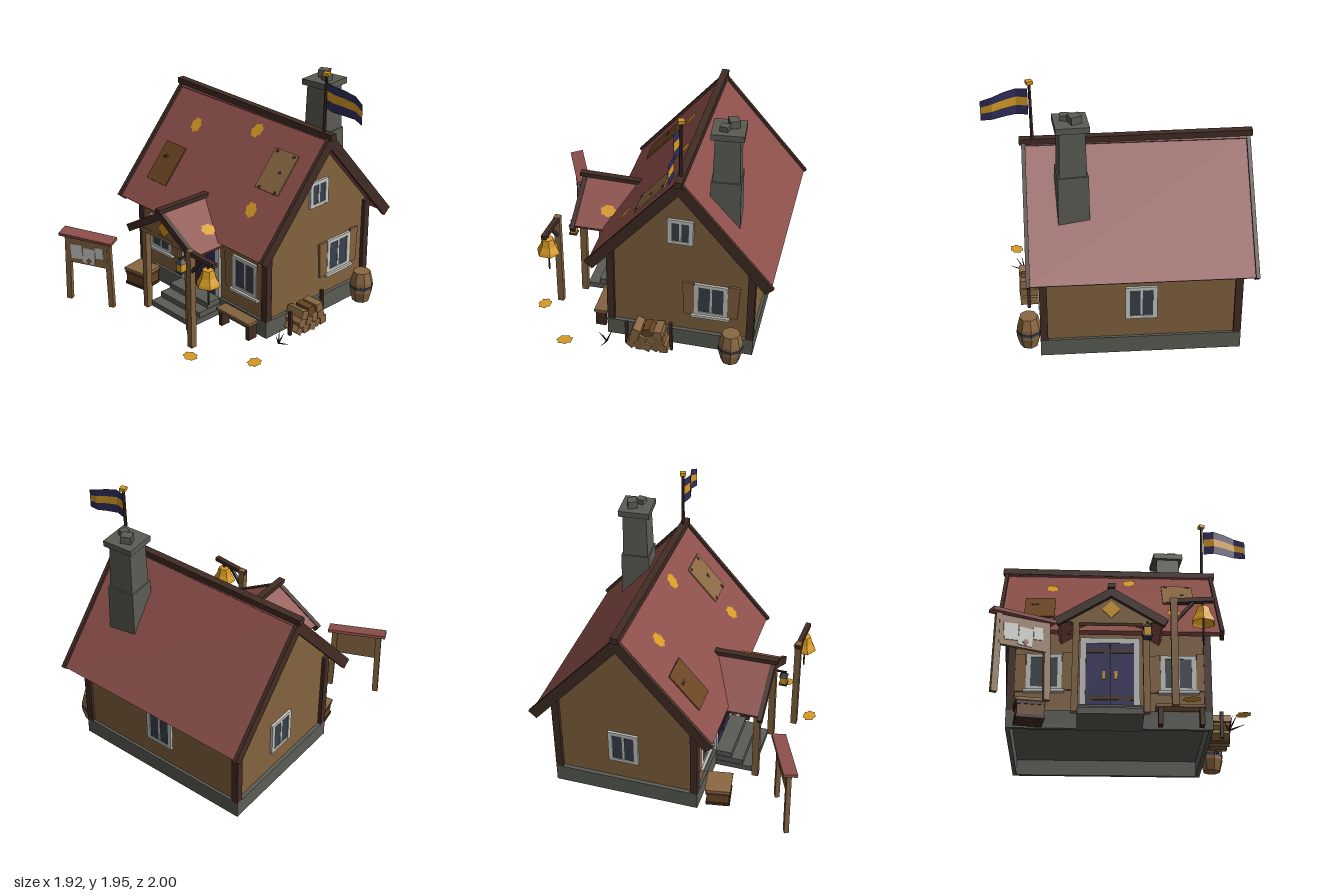
import * as THREE from 'three';

const mat = (name, color, side = THREE.FrontSide) =>
  Object.assign(new THREE.MeshStandardMaterial({ color, flatShading: true, side }), { name });

export function createModel() {
  const tan = mat('tan wood', 0x82623e), timber = mat('dark timber', 0x412c24);
  const red = mat('roof red', 0x8c4f4a), stone = mat('stone', 0x5a5c54);
  const navy = mat('navy paint', 0x2f2d5c, THREE.DoubleSide), gold = mat('gold', 0xd69a24, THREE.DoubleSide);
  const white = mat('off white', 0xc4c5c0), glass = mat('slate glass', 0x39404b);
  const brown = mat('brown plank', 0x6a4422), pale = mat('pale wood', 0x8a6842);

  const root = new THREE.Group();
  root.name = 'cottage';
  const CX = -0.13, CZ = -0.305;

  const add = (parent, name, geo, m, x = 0, y = 0, z = 0, rx = 0, ry = 0, rz = 0) => {
    const mesh = new THREE.Mesh(geo, m);
    mesh.name = name;
    mesh.position.set(x, y, z);
    mesh.rotation.set(rx, ry, rz);
    parent.add(mesh);
    return mesh;
  };
  const box = (p, name, m, w, h, d, ...at) => add(p, name, new THREE.BoxGeometry(w, h, d), m, ...at);
  const cyl = (p, name, m, rt, rb, h, n, ...at) => add(p, name, new THREE.CylinderGeometry(rt, rb, h, n), m, ...at);
  const group = (name, x, y, z, ry = 0) => {
    const g = new THREE.Group();
    g.name = name;
    g.position.set(x, y, z);
    g.rotation.y = ry;
    root.add(g);
    return g;
  };
  const prism = (points, depth) => new THREE.ExtrudeGeometry(
    new THREE.Shape(points.map(([a, b]) => new THREE.Vector2(a, b))), { depth, bevelEnabled: false });
  const leaf = (p, x, y, z, turn = 0) => {
    const geo = new THREE.CircleGeometry(0.05, 18), a = geo.attributes.position;
    for (let i = 1; i < a.count; i++) {
      const k = 0.96 + 0.13 * Math.sin(i * 2.4 + turn);
      a.setXY(i, a.getX(i) * k, a.getY(i) * k * 1.24);
    }
    add(p, 'fallenLeaf', geo, gold, x, y, z, -Math.PI / 2, 0, turn);
  };

  // Hollow foundation ring with a raised floor, walls with gables, corner posts
  for (const s of [-1, 1]) {
    box(root, 'foundationLong', stone, 1.46, 0.135, 0.03, CX, 0.0675, CZ + s * 0.54);
    box(root, 'foundationShort', stone, 0.03, 0.135, 1.06, CX + s * 0.715, 0.0675, CZ);
  }
  box(root, 'floor', stone, 1.42, 0.015, 1.07, CX, 0.1275, CZ);
  add(root, 'walls', prism([[-0.535, 0.13], [0.535, 0.13], [0.535, 0.8], [0, 1.41], [-0.535, 0.8]], 1.4),
    tan, CX - 0.7, 0, CZ, 0, Math.PI / 2);
  for (const sx of [-1, 1]) for (const sz of [-1, 1])
    box(root, 'cornerPost', timber, 0.055, 0.66, 0.055, CX + sx * 0.702, 0.46, CZ + sz * 0.528);

  // Main roof: each slope is built in its own frame, local z running down the slope
  const A = Math.atan2(0.81, 0.705), L = Math.hypot(0.81, 0.705);
  const slopes = [0, Math.PI].map((turn) => {
    const g = group('roofSlope', CX, 1.5, CZ);
    g.rotation.set(A, turn, 0, 'YXZ');
    box(g, 'roofPanel', red, 1.59, 0.034, L - 0.033, 0, -0.033, L / 2 - 0.0065);
    for (const s of [-1, 1]) box(g, 'bargeboard', timber, 0.028, 0.08, L - 0.042, s * 0.802, -0.036, L / 2 + 0.005);
    return g;
  });
  box(root, 'ridgeBeam', timber, 1.665, 0.046, 0.055, CX, 1.489, CZ, 0, 0, -0.009);
  const front = slopes[0];
  box(front, 'roofPatchLeft', brown, 0.225, 0.016, 0.335, -0.518, -0.013, 0.668);
  box(front, 'roofPatchRight', pale, 0.235, 0.016, 0.33, 0.518, -0.013, 0.397);
  for (const [x, z] of [[-0.57, 0.62], [-0.545, 0.615], [0.43, 0.25], [0.6, 0.255], [0.55, 0.4], [0.44, 0.55], [0.6, 0.55]])
    box(front, 'patchNail', timber, 0.024, 0.004, 0.024, x, -0.004, z, 0, 0.4);
  leaf(front, -0.437, -0.011, 0.297, 0.3);
  leaf(front, 0.153, -0.011, 0.165, -0.4);
  leaf(front, 0.474, -0.011, 0.73, 0.5);

  // Chimney
  const chimney = group('chimney', 0.344, 0, -0.582, 0.09);
  const stack = (name, w0, w1, y0, y1) =>
    cyl(chimney, name, stone, w1 / Math.SQRT2, w0 / Math.SQRT2, y1 - y0, 4, 0, (y0 + y1) / 2, 0, 0, Math.PI / 4);
  stack('chimneyBase', 0.225, 0.215, 1.0, 1.385);
  stack('chimneyShaft', 0.195, 0.178, 1.38, 1.74);
  box(chimney, 'chimneyCap', stone, 0.235, 0.045, 0.235, 0, 1.752, 0, 0, 0, 0.02);
  box(chimney, 'chimneyBrick', stone, 0.08, 0.06, 0.07, -0.025, 1.8, -0.03, 0, 0.35);
  box(chimney, 'chimneyBrick', stone, 0.06, 0.045, 0.06, 0.04, 1.792, 0.025, 0, -0.25);

  // Flag on the ridge
  cyl(root, 'flagPole', timber, 0.011, 0.014, 0.48, 6, 0.611, 1.7, -0.305, 0, 0, -0.015);
  box(root, 'flagFinial', gold, 0.045, 0.025, 0.045, 0.615, 1.938, -0.305, 0, 0.3);
  [[0, 0.35, navy], [0.35, 0.68, gold], [0.68, 1, navy]].forEach(([v0, v1, m]) => {
    const geo = new THREE.PlaneGeometry(1, 1, 4, 1), a = geo.attributes.position;
    for (let i = 0; i < a.count; i++) {
      const u = a.getX(i) + 0.5, v = a.getY(i) > 0 ? v1 : v0;
      const low = 1.685 - 0.035 * u * u, high = 1.885 - 0.085 * u * u;
      a.setXYZ(i, 0.628 + 0.332 * u, low + (high - low) * v, -0.298 + 0.022 * Math.sin(u * 6.2));
    }
    geo.computeVertexNormals();
    add(root, 'flagStripe', geo, m);
  });

  // Windows, facing local +z and nearly flush with the wall
  const makeWindow = (name, x, y, z, ry, w, h, shutters = true) => {
    const g = group(name, x, y, z, ry), t = 0.032;
    box(g, 'panes', glass, w - t, h - t, 0.02, 0, 0, 0);
    for (const s of [-1, 1]) {
      box(g, 'frameSide', white, t, h, 0.034, s * (w - t) / 2, 0, 0);
      box(g, 'frameRail', white, w, t * 0.8, 0.032, 0, s * (h - t * 0.8) / 2, 0);
      if (shutters) box(g, 'shutter', tan, 0.085, h + 0.01, 0.016, s * (w / 2 + 0.04), 0.002 + s * 0.008, 0.006, 0, 0, -s * 0.05);
    }
    box(g, 'mullion', white, 0.016, h, 0.026, 0, 0, 0);
    if (shutters) box(g, 'sill', white, w + 0.04, 0.022, 0.06, 0, -h / 2 - 0.008, 0.005, 0, 0, 0.015);
  };
  const H = Math.PI / 2;
  makeWindow('frontWindowLeft', 0.362, 0.425, 0.232, 0, 0.255, 0.275);
  makeWindow('frontWindowRight', -0.6, 0.425, 0.232, 0, 0.255, 0.275);
  makeWindow('sideWindow', 0.573, 0.437, -0.535, H, 0.25, 0.275);
  makeWindow('atticWindow', 0.573, 1.01, -0.3, H, 0.19, 0.205, false);
  makeWindow('farSideWindow', -0.833, 0.43, -0.32, -H, 0.23, 0.27, false);
  makeWindow('backWindow', CX, 0.43, -0.842, Math.PI, 0.23, 0.27, false);

  // Double door and steps
  const door = group('door', CX, 0, 0.232);
  box(door, 'doorFrameTop', white, 0.43, 0.04, 0.034, 0, 0.675, 0);
  for (const s of [-1, 1]) {
    box(door, 'doorFrameSide', white, 0.043, 0.54, 0.034, s * 0.195, 0.4, 0);
    box(door, 'doorLeaf', navy, 0.171, 0.535, 0.022, s * 0.0875, 0.4, 0);
    for (const y of [0.235, 0.595]) box(door, 'hingeBand', timber, 0.165, 0.034, 0.01, s * 0.088, y, 0.013);
    box(door, 'doorHandle', gold, 0.02, 0.06, 0.016, s * 0.043, 0.405, 0.012);
  }
  [0.55, 0.46, 0.37].forEach((zf, i) =>
    box(root, 'doorStep', stone, 0.46 - i * 0.01, 0.045 * (i + 1), zf - 0.2, CX, 0.0225 * (i + 1), (zf + 0.2) / 2));

  // Porch roof, gable and posts
  const PA = Math.atan2(0.225, 0.37), PL = Math.hypot(0.225, 0.37);
  for (const s of [-1, 1]) {
    const g = group('porchSlope', CX, 0.905, 0);
    g.rotation.set(PA, s * H, 0, 'YXZ');
    box(g, 'porchRoofPanel', red, 0.49, 0.035, PL, -s * 0.365, -0.0175, PL / 2);
    box(g, 'porchBargeboard', timber, 0.035, 0.058, PL + 0.03, -s * 0.617, -0.022, PL / 2 + 0.015);
    if (s > 0) leaf(g, -0.37, 0.006, 0.275, 1.4);
    box(root, 'porchPost', tan, 0.046, 0.66, 0.05, CX + s * 0.245, 0.33, 0.57, 0, 0, s * 0.01);
  }
  box(root, 'porchRidge', timber, 0.052, 0.032, 0.51, CX, 0.917, 0.4, -0.02);
  add(root, 'porchGable', prism([[-0.33, 0.665], [0.33, 0.665], [0, 0.86]], 0.03), tan, CX, 0, 0.565);
  box(root, 'porchBeam', tan, 0.56, 0.035, 0.05, CX, 0.672, 0.572);
  box(root, 'gableDiamond', gold, 0.092, 0.092, 0.009, CX, 0.757, 0.598, 0, 0, Math.PI / 4);

  // Hanging lantern
  const lantern = group('lantern', 0.12, 0, 0.65);
  box(lantern, 'lanternHook', timber, 0.012, 0.012, 0.1, 0, 0.635, -0.03);
  cyl(lantern, 'lanternCap', glass, 0.012, 0.045, 0.03, 4, 0, 0.612, 0, 0, H / 2);
  box(lantern, 'lanternBody', gold, 0.05, 0.07, 0.05, 0, 0.565, 0);
  box(lantern, 'lanternBase', glass, 0.062, 0.012, 0.062, 0, 0.527, 0);

  // Bell post
  box(root, 'bellPost', tan, 0.048, 0.79, 0.048, 0.3, 0.395, 0.715);
  const arm = group('bellArm', 0.3, 0, 0.715, -0.06);
  box(arm, 'bellBeam', timber, 0.31, 0.032, 0.04, 0.125, 0.775, 0, 0, 0, 0.03);
  box(arm, 'bellBrace', timber, 0.17, 0.022, 0.022, 0.075, 0.695, 0, 0, 0, 0.85);
  const bell = new THREE.LatheGeometry(
    [[0.001, 0.732], [0.044, 0.722], [0.06, 0.665], [0.084, 0.622], [0.091, 0.6]].map((p) => new THREE.Vector2(...p)), 6);
  add(arm, 'bell', bell, gold, 0.2, 0, 0);
  cyl(arm, 'bellHanger', timber, 0.01, 0.01, 0.05, 5, 0.2, 0.75, 0);
  cyl(arm, 'bellRope', timber, 0.007, 0.007, 0.22, 5, 0.2, 0.55, 0);

  // Notice board
  const board = group('noticeBoard', -0.728, 0, 0.858, 0.42);
  for (const s of [-1, 1]) box(board, 'boardPost', tan, 0.044, 0.56, 0.035, s * 0.178, 0.28, 0, 0, 0, s * 0.025);
  box(board, 'boardPanel', tan, 0.34, 0.215, 0.025, 0, 0.442, 0.008);
  box(board, 'boardRoof', red, 0.45, 0.024, 0.105, 0, 0.572, 0, 0.15, 0, -0.03);
  [[-0.09, 0.435, 0.1, 0.12, 0.08], [0.015, 0.415, 0.1, 0.13, -0.06], [0.105, 0.455, 0.068, 0.09, 0.1]].forEach(
    ([x, y, w, h, r]) => box(board, 'paperNote', white, w, h, 0.006, x, y, 0.025, 0, 0, r));
  box(board, 'waxSeal', red, 0.034, 0.034, 0.006, 0.015, 0.375, 0.031, 0, 0, H / 2);

  // Storage crate
  const crate = group('crate', -0.69, 0, 0.37, 0.17);
  box(crate, 'crateBody', brown, 0.19, 0.12, 0.17, 0, 0.065, 0);
  box(crate, 'crateLid', pale, 0.21, 0.022, 0.19, 0, 0.136, 0);
  for (const y of [0.012, 0.11]) box(crate, 'crateBand', timber, 0.2, 0.024, 0.18, 0, y, 0);

  // Bench under the window
  box(root, 'benchSeat', tan, 0.35, 0.022, 0.1, 0.365, 0.135, 0.325);
  for (const x of [0.225, 0.515]) box(root, 'benchLeg', timber, 0.034, 0.125, 0.08, x, 0.0625, 0.325);

  // Firewood stack between stakes, square and five-sided billets
  [[0.04, 5, 0.03, 0.061], [0.1, 4, 0.01, 0.065], [0.163, 3, -0.005, 0.083]].forEach(([y, n, z0, step], row) => {
    for (let i = 0; i < n; i++)
      cyl(root, 'firewoodLog', row === 2 && i === 1 ? brown : i % 2 ? tan : pale, 0.042, 0.044,
        0.13 + 0.015 * ((i + row) % 3), 4 + (i + row) % 2, 0.672, y, z0 - i * step, i + row, 0, H);
  });
  box(root, 'woodStake', timber, 0.025, 0.2, 0.022, 0.68, 0.1, 0.08);
  box(root, 'woodStake', timber, 0.025, 0.255, 0.022, 0.68, 0.1275, -0.26, 0.03);

  // Barrel
  const barrel = group('barrel', 0.683, 0, -0.71, 0.2);
  [[0.068, 0.09, 0, 0.085], [0.09, 0.09, 0.085, 0.165], [0.09, 0.068, 0.165, 0.25]].forEach(
    ([rb, rt, y0, y1]) => cyl(barrel, 'barrelStaves', pale, rt, rb, y1 - y0, 8, 0, (y0 + y1) / 2, 0));
  cyl(barrel, 'barrelHoop', glass, 0.094, 0.094, 0.022, 8, 0, 0.125, 0);

  // Dry twig and leaves on the ground
  for (const [rx, rz, h] of [[0.1, -0.5, 0.13], [0.5, -0.2, 0.11], [-0.4, 0.3, 0.1], [0.2, -1.2, 0.12]]) {
    const twig = group('dryTwig', 0.71, 0.005, 0.23);
    twig.rotation.set(rx, 0, rz);
    cyl(twig, 'twigStem', timber, 0.001, 0.008, h, 4, 0, h / 2, 0);
  }
  leaf(root, 0.775, 0.008, 0.54, 0.4);
  leaf(root, 0.4, 0.008, 0.82, 1.4);

  return root;
}
